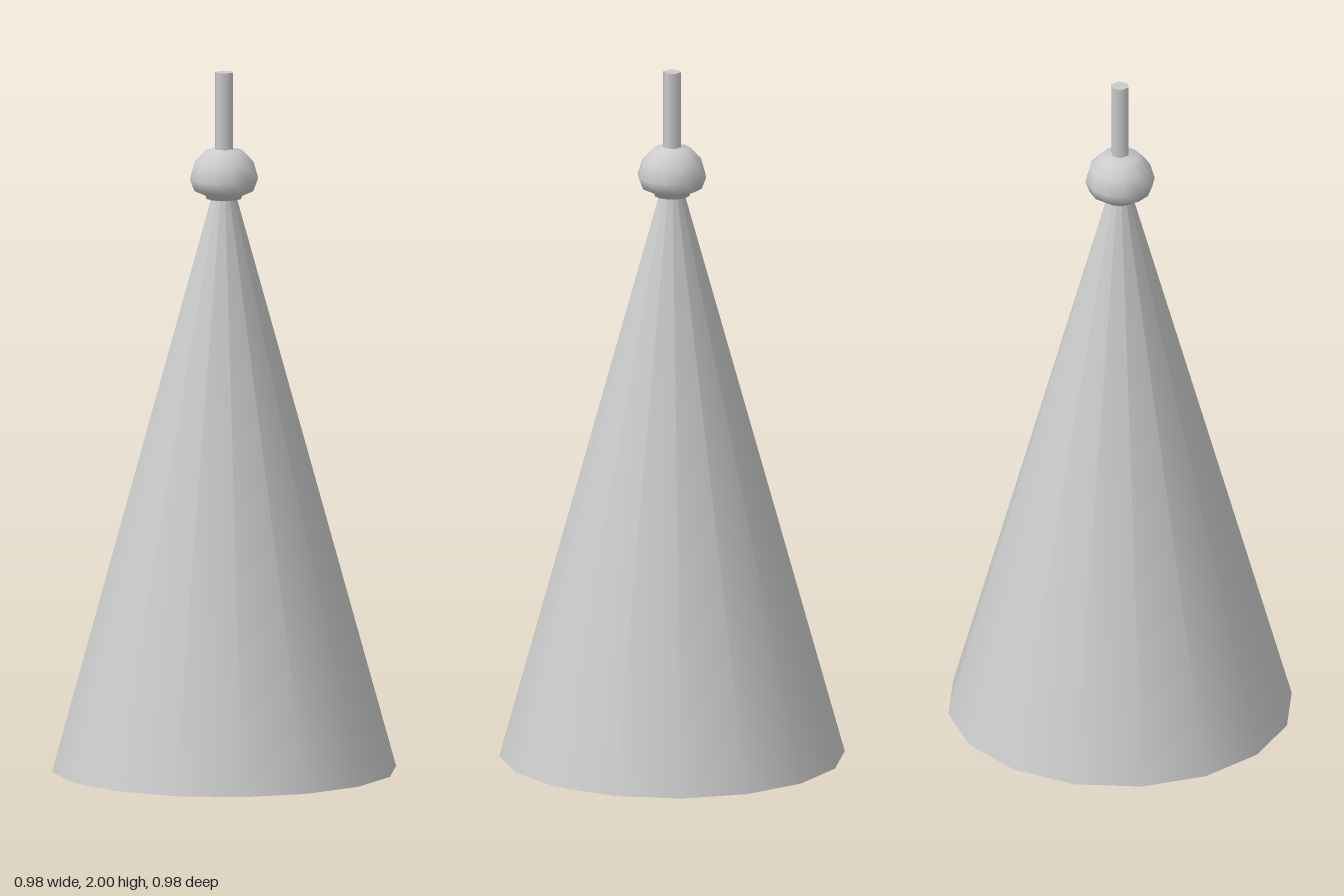
import * as THREE from 'three';

export function createModel() {
  const group = new THREE.Group();
  const material = new THREE.MeshStandardMaterial({ color: 0xcccccc, side: THREE.DoubleSide });

  const add = (name, geometry, y = 0) => {
    const mesh = new THREE.Mesh(geometry, material);
    mesh.name = name;
    mesh.position.y = y;
    group.add(mesh);
    return mesh;
  };

  // Hollow cone, open underneath, its tip hidden in the knob
  const coneHeight = 1.77;
  add('coneShell', new THREE.CylinderGeometry(0, 0.49, coneHeight, 16, 1, true), coneHeight / 2);

  // Rounded knob with a small lip where it meets the cone
  const knobProfile = [
    [0.03, 1.636], [0.05, 1.638], [0.054, 1.648], [0.086, 1.662],
    [0.099, 1.695], [0.086, 1.74], [0.053, 1.775], [0, 1.784],
  ].map(([r, y]) => new THREE.Vector2(r, y));
  add('knob', new THREE.LatheGeometry(knobProfile, 12));

  // Thin six-sided rod on top
  const rodBottom = 1.7;
  const rod = new THREE.CylinderGeometry(0.026, 0.026, 2 - rodBottom, 6);
  rod.rotateY(Math.PI / 6);
  add('rod', rod, (2 + rodBottom) / 2);

  return group;
}
